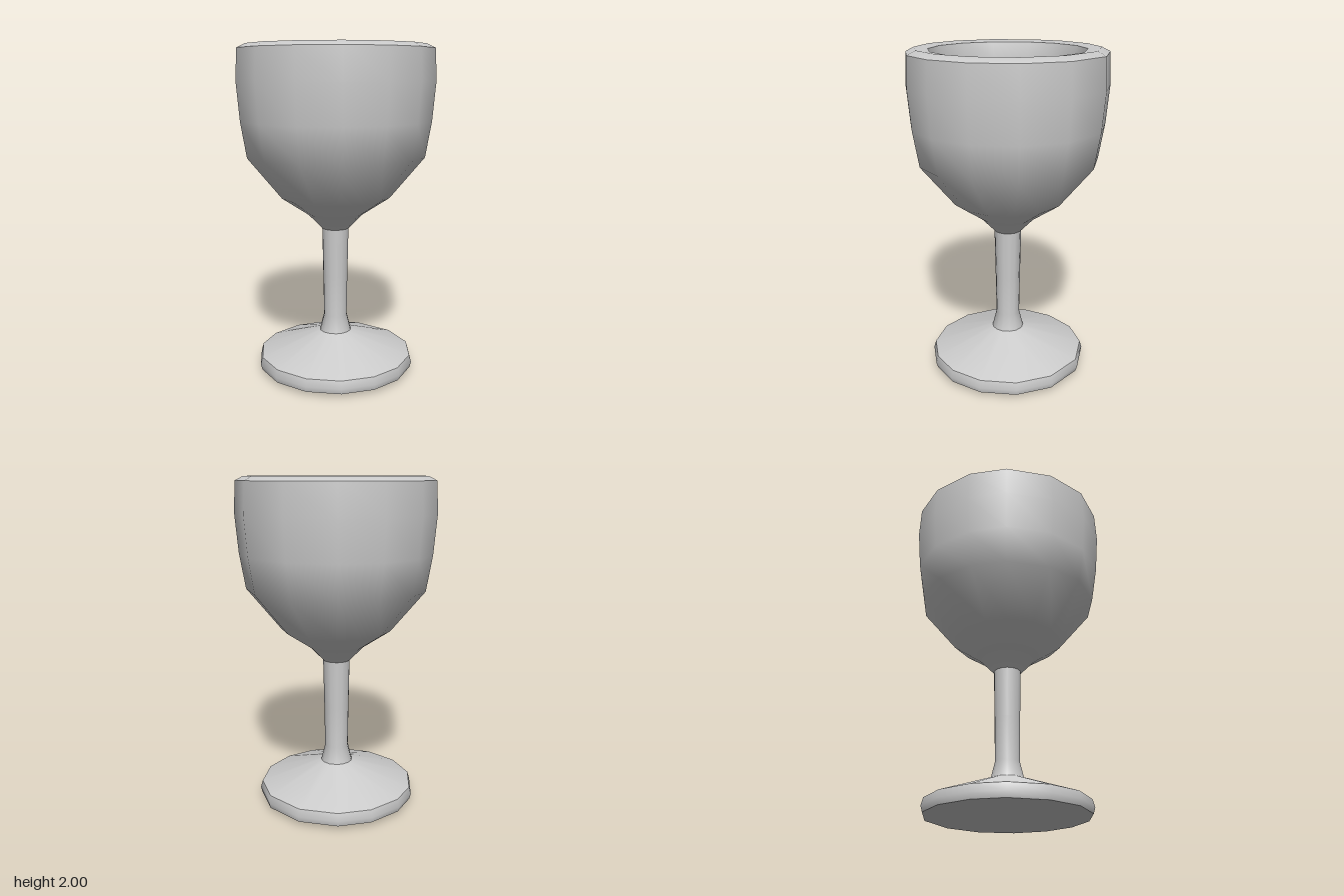
import * as THREE from 'three';

// slightly uneven corner angles (degrees from +z towards +x), shared by all rings
const ANGLES = [8, 32.1, 55.4, 80.3, 106.6, 133.6, 164, 192.5, 217, 242.4, 264.7, 292, 317.4, 343.1, 368];
const SIDES = ANGLES.length - 1;

// smooth surface of revolution whose corners follow ANGLES; creases fall between separate bands
function band(name, profile, material) {
  const geometry = new THREE.LatheGeometry(profile.map(([r, y]) => new THREE.Vector2(r, y)), SIDES);
  const { position, normal } = geometry.attributes;
  const up = new THREE.Vector3(0, 1, 0);
  const v = new THREE.Vector3();
  for (let i = 0; i < position.count; i++) {
    const k = Math.floor(i / profile.length);
    const turn = THREE.MathUtils.degToRad(ANGLES[k] - (k * 360) / SIDES);
    for (const attribute of [position, normal]) {
      v.fromBufferAttribute(attribute, i).applyAxisAngle(up, turn);
      attribute.setXYZ(i, v.x, v.y, v.z);
    }
  }
  const mesh = new THREE.Mesh(geometry, material);
  mesh.name = name;
  return mesh;
}

export function createModel() {
  const material = new THREE.MeshStandardMaterial({ color: 0xcccccc });

  // profiles as [radius, height], running from the underside up and over into the bowl
  const parts = {
    footUnderside: [[0, 0], [0.478, 0.025]],
    footEdge: [[0.478, 0.025], [0.488, 0.06], [0.475, 0.105]],
    footTop: [[0.475, 0.105], [0.098, 0.24]],
    stem: [[0.098, 0.24], [0.073, 0.34], [0.077, 0.6], [0.083, 0.9]],
    bowlOuter: [[0.083, 0.9], [0.17, 0.99], [0.335, 1.1], [0.54, 1.35], [0.575, 1.56], [0.594, 1.79], [0.585, 1.975]],
    rim: [[0.585, 1.975], [0.535, 2], [0.457, 1.99]],
    bowlInner: [[0.457, 1.99], [0.437, 1.9], [0.425, 1.65], [0.345, 1.36]],
    bowlFloor: [[0.345, 1.36], [0, 1.25]],
  };

  const goblet = new THREE.Group();
  goblet.name = 'goblet';
  for (const [name, profile] of Object.entries(parts)) goblet.add(band(name, profile, material));
  return goblet;
}
